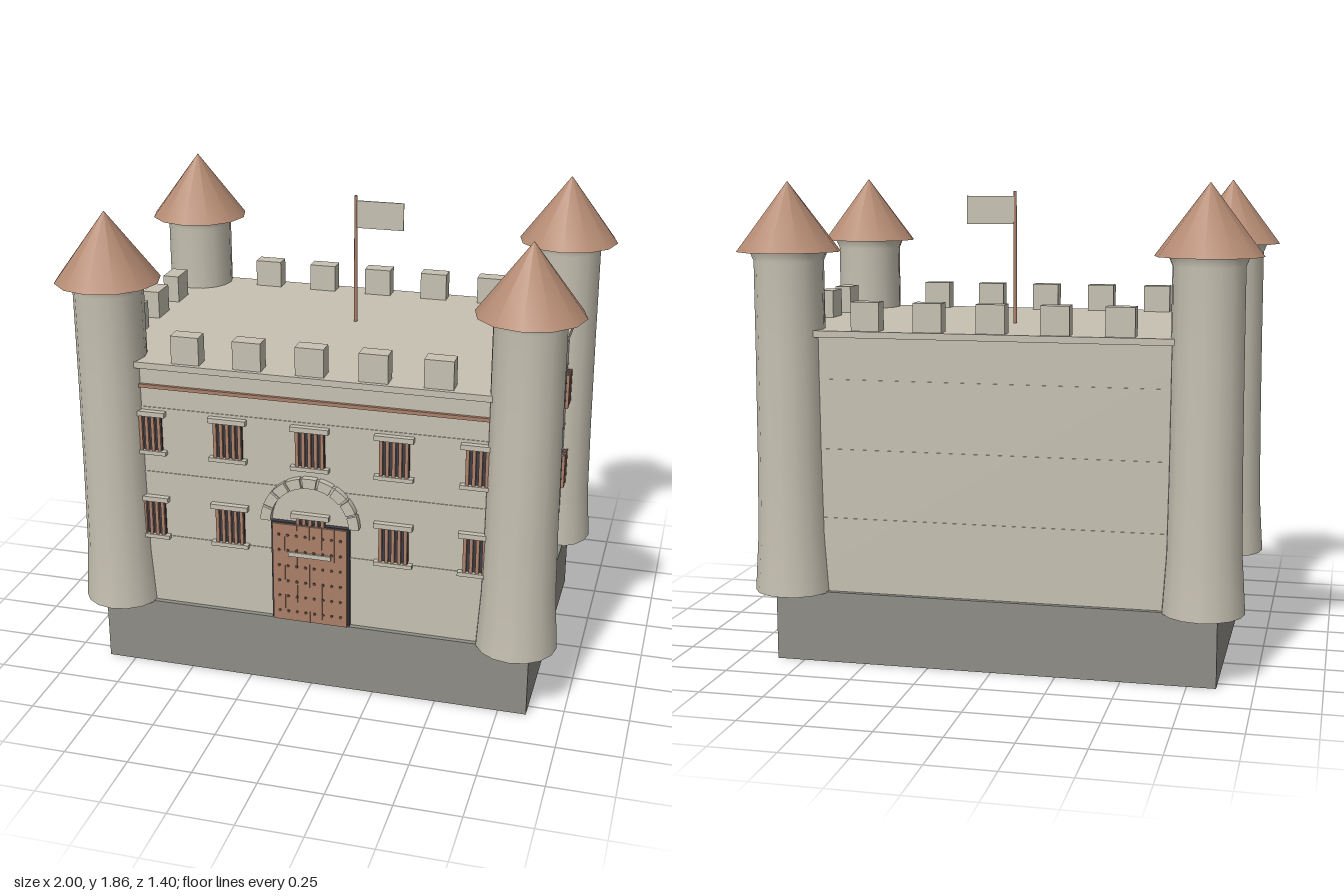
import * as THREE from 'three';

const mat = (name, color, side = THREE.FrontSide) => {
  const m = new THREE.MeshStandardMaterial({ color, side });
  m.name = name;
  return m;
};

export function createModel() {
  const castle = new THREE.Group();
  castle.name = 'castle';
  const stone = mat('stone', 0xc6c1b2);
  const thinStone = mat('towerStone', 0xc6c1b2, THREE.DoubleSide);
  const plinth = mat('plinthGrey', 0x8e8d86);
  const tile = mat('roofTile', 0xb58b73);
  const wood = mat('wood', 0xab8069);
  const dark = mat('darkOpening', 0x3d3d48);
  const iron = mat('iron', 0x5c4639);

  const add = (name, geo, material, x = 0, y = 0, z = 0, parent = castle) => {
    const m = new THREE.Mesh(geo, material);
    m.name = name;
    m.position.set(x, y, z);
    parent.add(m);
    return m;
  };
  const box = (name, w, h, d, material, x, y, z, parent) =>
    add(name, new THREE.BoxGeometry(w, h, d), material, x, y, z, parent);

  // Plinth, keep and roof slab
  box('plinth', 1.72, 0.28, 1.12, plinth, 0, 0.14, 0);
  box('keep', 1.68, 1.0, 1.08, stone, 0, 0.78, 0);
  box('roofSlab', 1.72, 0.025, 1.13, stone, 0, 1.2875, 0);

  // Faint stone courses around the walls, and the front timber band
  for (const y of [1.11, 0.84, 0.57]) box('course', 1.686, 0.006, 1.086, stone, 0, y, 0);
  box('timberBand', 1.6, 0.014, 0.02, wood, 0, 1.2, 0.542);

  // Battlements
  for (const s of [-1, 1]) {
    for (let i = -2; i <= 2; i++) box('merlon', 0.11, 0.11, 0.065, stone, i * 0.243, 1.355, s * 0.515);
    for (let i = -1; i <= 1; i++) box('merlon', 0.065, 0.11, 0.11, stone, s * 0.815, 1.355, i * 0.222);
  }

  // Corner towers with flared feet and cone roofs
  const profile = [[0.157, 0.275], [0.142, 0.5], [0.137, 0.8], [0.134, 1.2], [0.133, 1.56], [0.15, 1.6]]
    .map(([r, y]) => new THREE.Vector2(r, y));
  for (const x of [-0.8, 0.8]) for (const z of [-0.5, 0.5]) {
    const tower = new THREE.Group();
    tower.name = 'tower';
    tower.position.set(x, 0, z);
    castle.add(tower);
    add('shaft', new THREE.LatheGeometry(profile, 16), thinStone, 0, 0, 0, tower);
    add('coneRoof', new THREE.ConeGeometry(0.2, 0.265, 12), tile, 0, 1.7275, 0, tower);
  }

  // Barred window facing +z, with optional lintel and sill
  const barredWindow = (w, bars, trimmed) => {
    const g = new THREE.Group();
    g.name = 'window';
    box('opening', w, 0.145, 0.008, dark, 0, 0, 0.004, g);
    for (let i = 0; i < bars; i++)
      box('bar', 0.013, 0.145, 0.014, wood, (i - (bars - 1) / 2) * (w - 0.013) / (bars - 1) * 0.96, 0, 0.012, g);
    if (trimmed) {
      box('lintel', 0.15, 0.02, 0.024, stone, 0, 0.08, 0.012, g);
      box('sill', 0.15, 0.016, 0.024, stone, 0, -0.08, 0.012, g);
    }
    castle.add(g);
    return g;
  };
  for (const y of [1.01, 0.652]) {
    for (let i = -2; i <= 2; i++) barredWindow(0.115, 5, true).position.set(i * 0.325, y, 0.54);
    for (const s of [-1, 1]) for (const z of [-0.35, 0, 0.35]) {
      const g = barredWindow(0.115, 5, false);
      g.position.set(s * 0.84, y, z);
      g.rotation.y = s * Math.PI / 2;
    }
  }

  // Plank door with studs and a cross plate
  const door = new THREE.Group();
  door.name = 'door';
  castle.add(door);
  box('doorFrame', 0.31, 0.42, 0.02, dark, 0, 0.49, 0.549, door);
  for (let i = 0; i < 6; i++)
    box('plank', 0.0485, 0.415, 0.028, wood, (i - 2.5) * 0.0495, 0.4875, 0.553, door);
  const studGeo = new THREE.CylinderGeometry(0.006, 0.006, 0.006, 8).rotateX(Math.PI / 2);
  for (let r = 0; r < 6; r++) for (let c = 0; c < 8; c++)
    add('stud', studGeo, iron, (c - 3.5) * 0.035, 0.32 + r * 0.066, 0.568, door);
  box('crossPlate', 0.17, 0.018, 0.008, stone, 0, 0.572, 0.57, door);

  // Arch of separate stones over the door
  const arch = new THREE.Group();
  arch.name = 'doorArch';
  arch.position.set(0, 0.7, 0.538);
  castle.add(arch);
  const count = 9, step = Math.PI / count;
  for (let i = 0; i < count; i++) {
    const a = i * step + 0.025, b = (i + 1) * step - 0.025;
    const s = new THREE.Shape();
    s.absarc(0, 0, 0.195, a, b, false);
    s.absarc(0, 0, 0.155, b, a, true);
    add('archStone', new THREE.ExtrudeGeometry(s, { depth: 0.03, bevelEnabled: false, curveSegments: 4 }),
      stone, 0, 0, 0, arch);
  }
  const backing = new THREE.Shape();
  backing.absarc(0, 0, 0.19, 0, Math.PI, false);
  backing.absarc(0, 0, 0.158, Math.PI, 0, true);
  add('archJoint', new THREE.ExtrudeGeometry(backing, { depth: 0.018, bevelEnabled: false, curveSegments: 18 }),
    stone, 0, 0, 0, arch);

  // Flag on its pole
  add('flagPole', new THREE.CylinderGeometry(0.006, 0.008, 0.52, 8), wood, 0, 1.56, -0.12);
  box('flag', 0.19, 0.11, 0.006, stone, 0.1, 1.745, -0.12);

  return castle;
}
